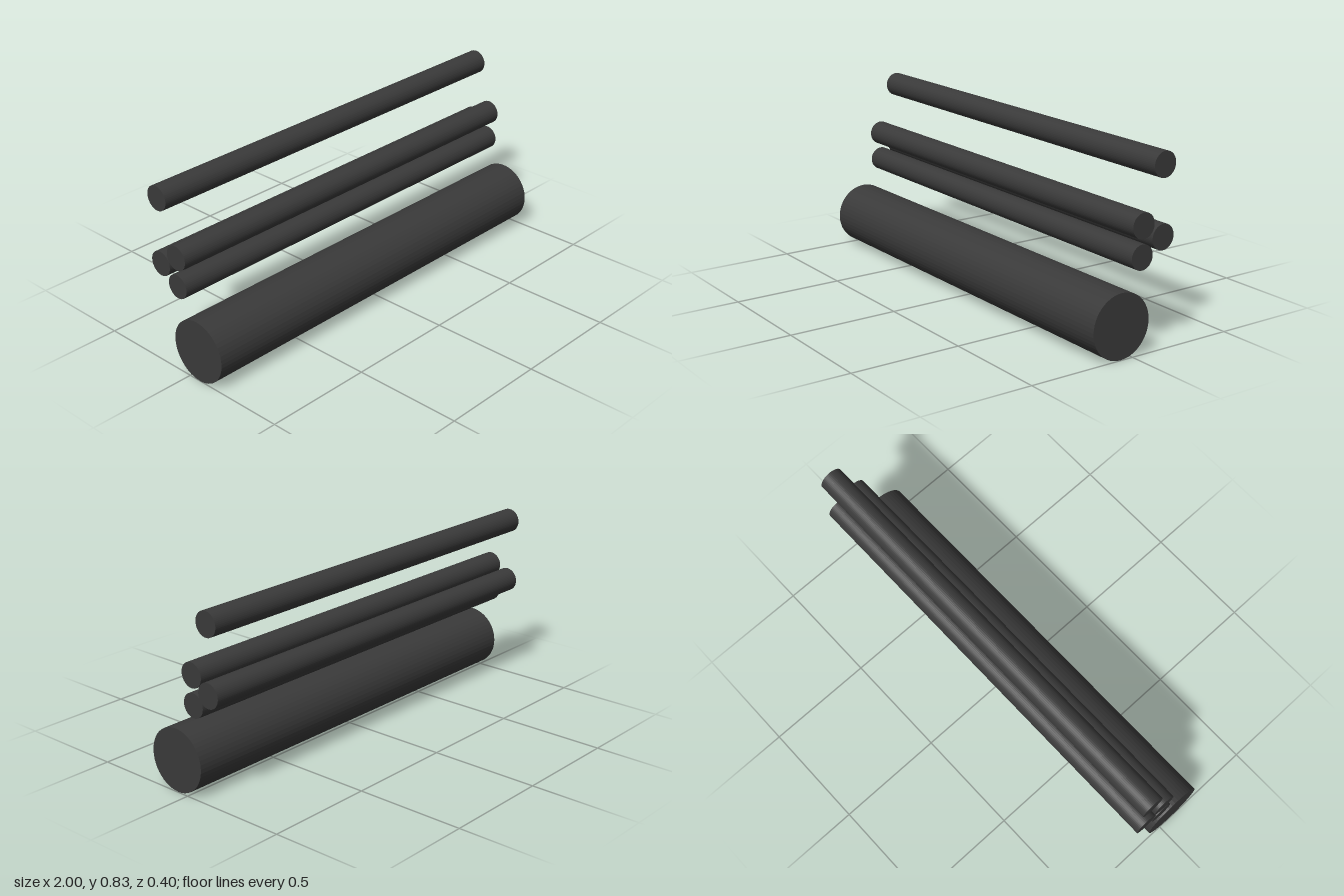
import * as THREE from 'three';

export function createModel() {
  const model = new THREE.Group();
  const material = new THREE.MeshStandardMaterial({ color: 0x3a3a3a, flatShading: true });

  // name, radius, height of axis, depth of axis, right-hand end (all start at x = -1)
  const rollers = [
    ['mainRoller', 0.141, 0.141, 0.059, 0.997],
    ['lowerFrontRod', 0.054, 0.406, -0.045, 0.99],
    ['upperFrontRod', 0.055, 0.537, -0.045, 0.995],
    ['middleBackRod', 0.055, 0.476, -0.142, 1],
    ['topRod', 0.055, 0.772, -0.142, 1],
  ];

  for (const [name, radius, y, z, end] of rollers) {
    const geometry = new THREE.CylinderGeometry(radius, radius, end + 1, 48);
    geometry.rotateZ(Math.PI / 2);
    const mesh = new THREE.Mesh(geometry, material);
    mesh.name = name;
    mesh.position.set((end - 1) / 2, y, z);
    model.add(mesh);
  }
  return model;
}
